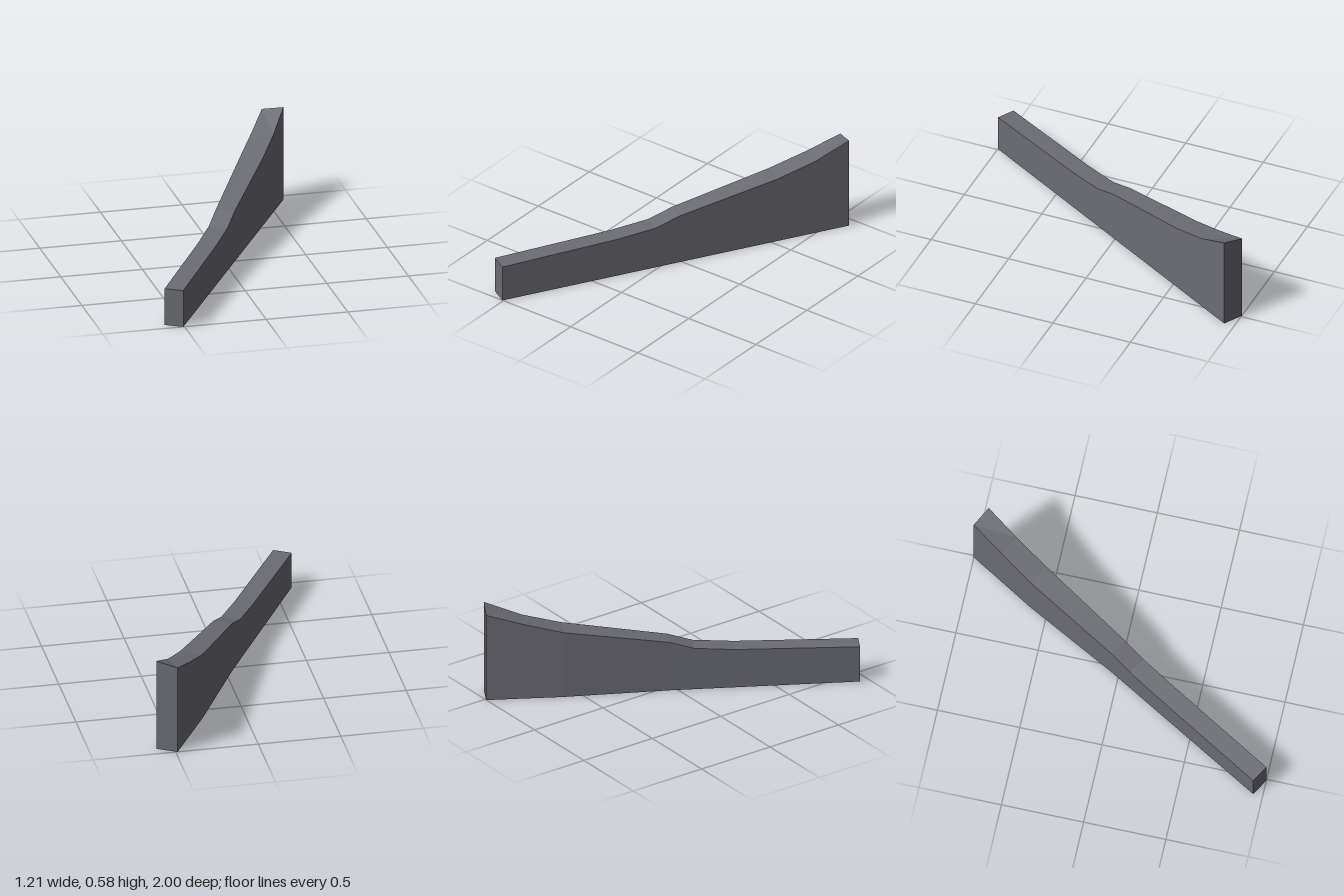
import * as THREE from 'three';

export function createModel() {
  const group = new THREE.Group();
  const slate = new THREE.MeshStandardMaterial({ color: 0x6c6c75 });
  slate.name = 'slate grey';

  // Stations along the wall: front x, front height, thickness in x, back height
  const stations = [
    [-0.507, 0.23, 0.1, 0.23],
    [-0.137, 0.25, 0.1, 0.25],
    [-0.015, 0.27, 0.1, 0.27],
    [0.06, 0.318, 0.1, 0.318],
    [0.375, 0.427, 0.12, 0.426],
    [0.492, 0.49, 0.117, 0.49],
    [0.604, 0.585, 0.115, 0.561],
  ];

  // Four corners per station: front bottom, front top, back top, back bottom
  const sections = stations.map(([x, frontTop, t, backTop]) => {
    const z = 1 - (x + 0.507) * 1.742;
    const bx = x - t, bz = z - t * 0.575;
    return [[x, 0, z], [x, frontTop, z], [bx, backTop, bz], [bx, 0, bz]];
  });

  const positions = [];
  const quad = (a, b, c, d) => positions.push(...a, ...b, ...c, ...a, ...c, ...d);

  // Sides, sloping top and underside
  for (let i = 0; i < sections.length - 1; i++) {
    const a = sections[i], b = sections[i + 1];
    for (let k = 0; k < 4; k++) {
      const n = (k + 1) % 4;
      quad(a[k], b[k], b[n], a[n]);
    }
  }

  // End faces
  const first = sections[0], last = sections[sections.length - 1];
  quad(first[3], first[0], first[1], first[2]);
  quad(last[0], last[3], last[2], last[1]);

  const geometry = new THREE.BufferGeometry();
  geometry.setAttribute('position', new THREE.Float32BufferAttribute(positions, 3));
  geometry.computeVertexNormals();

  const wall = new THREE.Mesh(geometry, slate);
  wall.name = 'slopingWall';
  group.add(wall);
  return group;
}
